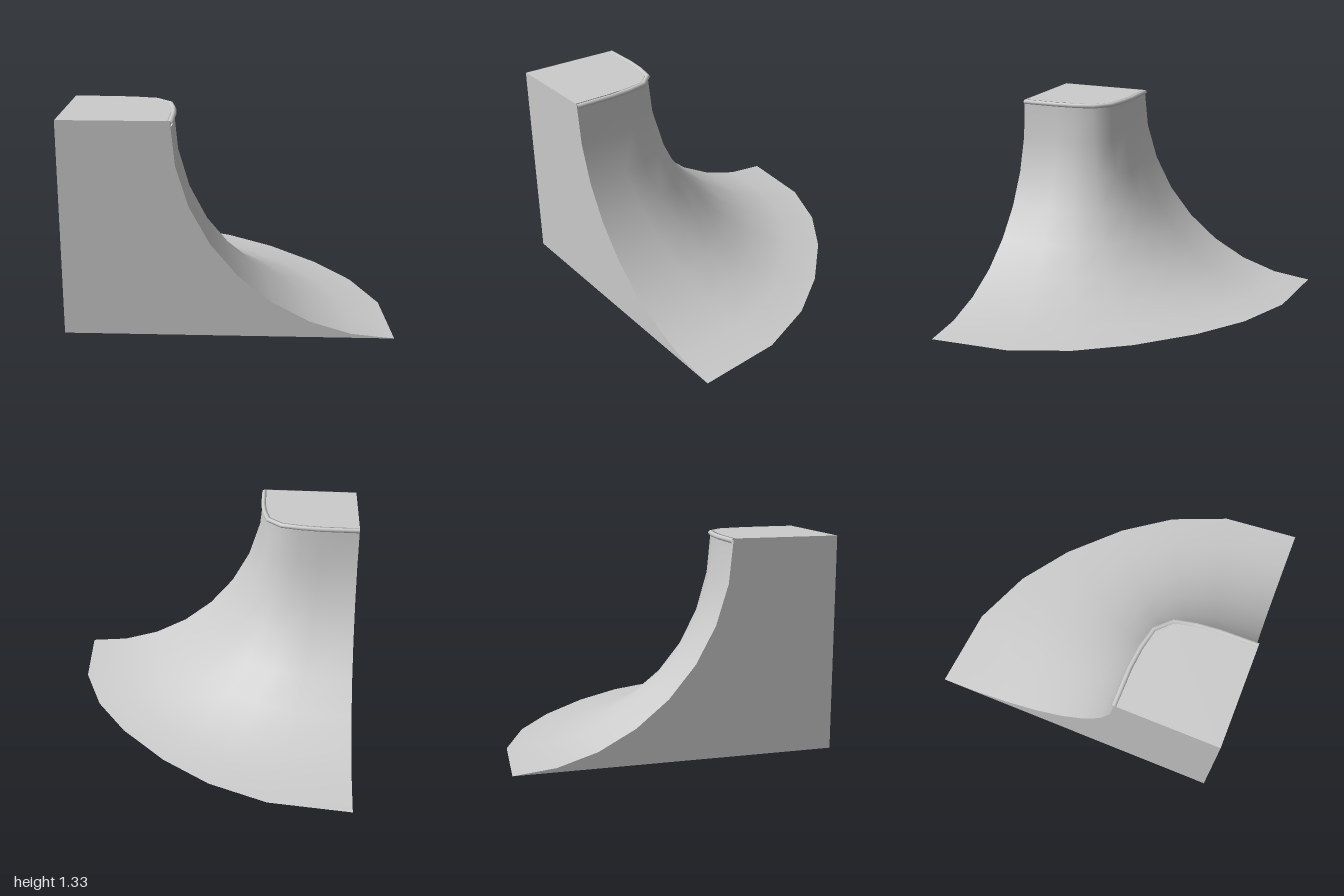
import * as THREE from 'three';

const HEIGHT = 1.333;
const STEPS = 8;
const COPING_RADIUS = 0.016;
const material = new THREE.MeshStandardMaterial({ color: 0xcccccc, side: THREE.DoubleSide });

// Half of a plan outline [x, z], completed by mirroring across the corner's diagonal
const mirrored = (half) => [...half, ...half.map(([x, z]) => [-z, -x]).reverse()];
const rim = mirrored([[-1, -1], [-0.465, -0.95], [-0.08, -0.79], [0.243, -0.56]]);
const lip = mirrored([[-1, 0.333], [-0.75, 0.336], [-0.61, 0.35], [-0.475, 0.38]]);

// Outward plan direction at each point of the lip
const outward = lip.map((_, i) => {
  if (i === 0) return [0, -1];
  if (i === lip.length - 1) return [1, 0];
  const dx = lip[i + 1][0] - lip[i - 1][0];
  const dz = lip[i + 1][1] - lip[i - 1][1];
  const l = Math.hypot(dx, dz);
  return [dz / l, -dx / l];
});

// Smooth surface through rows x cols points given by point(i, j)
function gridSurface(rows, cols, point) {
  const positions = [];
  const index = [];
  for (let i = 0; i < rows; i++) {
    for (let j = 0; j < cols; j++) {
      positions.push(...point(i, j));
      if (i < rows - 1 && j < cols - 1) {
        const a = i * cols + j;
        const b = a + cols;
        index.push(a, a + 1, b, b, a + 1, b + 1);
      }
    }
  }
  const geometry = new THREE.BufferGeometry();
  geometry.setAttribute('position', new THREE.Float32BufferAttribute(positions, 3));
  geometry.setIndex(index);
  geometry.computeVertexNormals();
  return geometry;
}

// Quarter-ellipse from the ground rim up to the lip
function rampPoint(i, j) {
  const t = (j / STEPS) * Math.PI / 2;
  const s = Math.sin(t);
  return [
    rim[i][0] + (lip[i][0] - rim[i][0]) * s,
    HEIGHT * (1 - Math.cos(t)) * (1 - 0.008 * s),
    rim[i][1] + (lip[i][1] - rim[i][1]) * s,
  ];
}

// Round section swept along the lip
function copingPoint(i, j) {
  const a = (j / 8) * Math.PI * 2 - Math.PI / 2;
  const r = COPING_RADIUS * Math.cos(a);
  return [
    lip[i][0] + outward[i][0] * r,
    HEIGHT - COPING_RADIUS + COPING_RADIUS * Math.sin(a),
    lip[i][1] + outward[i][1] * r,
  ];
}

// Flat side panel under the ramp's end profile
function wallGeometry(sign) {
  const last = rim.length - 1;
  const points = [new THREE.Vector2(-sign, 0)];
  for (let j = 0; j <= STEPS; j++) {
    const [x, y] = rampPoint(last, j);
    points.push(new THREE.Vector2(x * sign, y));
  }
  points.push(new THREE.Vector2(sign * lip[last][0], HEIGHT), new THREE.Vector2(-sign, HEIGHT));
  return new THREE.ShapeGeometry(new THREE.Shape(points));
}

// Flat platform just inside the coping
function deckGeometry() {
  const points = lip.map(([x, z], i) => new THREE.Vector2(
    x - outward[i][0] * COPING_RADIUS,
    -(z - outward[i][1] * COPING_RADIUS),
  ));
  points.push(new THREE.Vector2(-1, -1));
  return new THREE.ShapeGeometry(new THREE.Shape(points)).rotateX(-Math.PI / 2);
}

export function createModel() {
  const group = new THREE.Group();
  group.name = 'cornerRamp';
  const add = (name, geometry) => {
    const mesh = new THREE.Mesh(geometry, material);
    mesh.name = name;
    group.add(mesh);
    return mesh;
  };

  add('rampSurface', gridSurface(rim.length, STEPS + 1, rampPoint));
  add('coping', gridSurface(lip.length, 9, copingPoint));
  add('deck', deckGeometry()).position.y = HEIGHT - 0.002;
  add('frontWall', wallGeometry(1)).position.z = 1;

  const sideWall = add('sideWall', wallGeometry(-1));
  sideWall.rotation.y = -Math.PI / 2;
  sideWall.position.x = -1;

  return group;
}
